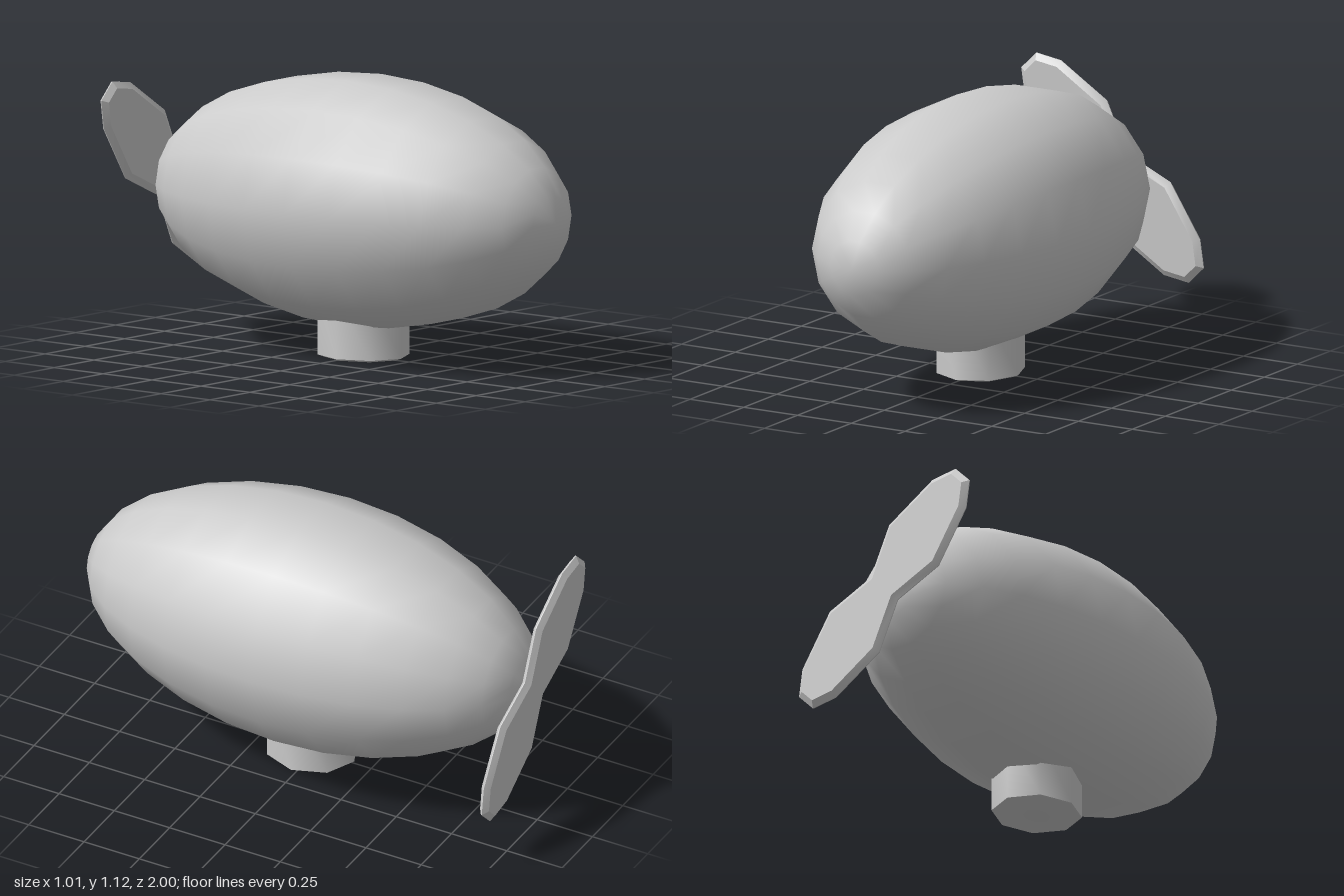
import * as THREE from 'three';
import { toCreasedNormals } from 'three/addons/utils/BufferGeometryUtils.js';

export function createModel() {
  const group = new THREE.Group();
  const material = new THREE.MeshStandardMaterial({ color: 0xcccccc });
  const add = (name, geometry) => {
    const mesh = new THREE.Mesh(geometry, material);
    mesh.name = name;
    group.add(mesh);
    return mesh;
  };

  // Hull: a 14-sided ellipsoid with its poles at the nose and tail
  const hull = add('hull', new THREE.SphereGeometry(1, 14, 14).rotateX(Math.PI / 2));
  hull.scale.set(0.505, 0.505, 0.982);
  hull.position.set(0, 0.63, 0.017);

  // Gondola: an eight-sided drum with a bevelled bottom rim
  const profile = [[0, 0.003], [0.165, 0.003], [0.19, 0.012], [0.19, 0.26], [0, 0.26]]
    .map(([r, y]) => new THREE.Vector2(r, y));
  const drum = new THREE.LatheGeometry(profile, 8).scale(0.91, 1, 1.01);
  add('gondola', toCreasedNormals(drum, 0.9)).position.z = 0.018;

  // Propeller: half of the outline, repeated by a half turn, with a sharp rim
  const half = [[0.067, 0.067], [0.27, -0.025], [0.407, -0.24], [0.424, -0.355],
    [0.355, -0.424], [0.24, -0.407], [0.025, -0.27]];
  const outline = [...half, ...half.map(([x, y]) => [-x, -y])]
    .map(([x, y]) => new THREE.Vector2(x, y));
  const blades = new THREE.ExtrudeGeometry(new THREE.Shape(outline), {
    depth: 0.004, bevelThickness: 0.018, bevelSize: 0.025, bevelOffset: -0.025, bevelSegments: 1,
  });
  add('propeller', toCreasedNormals(blades, 0.5)).position.set(0, 0.626, -0.982);

  return group;
}
